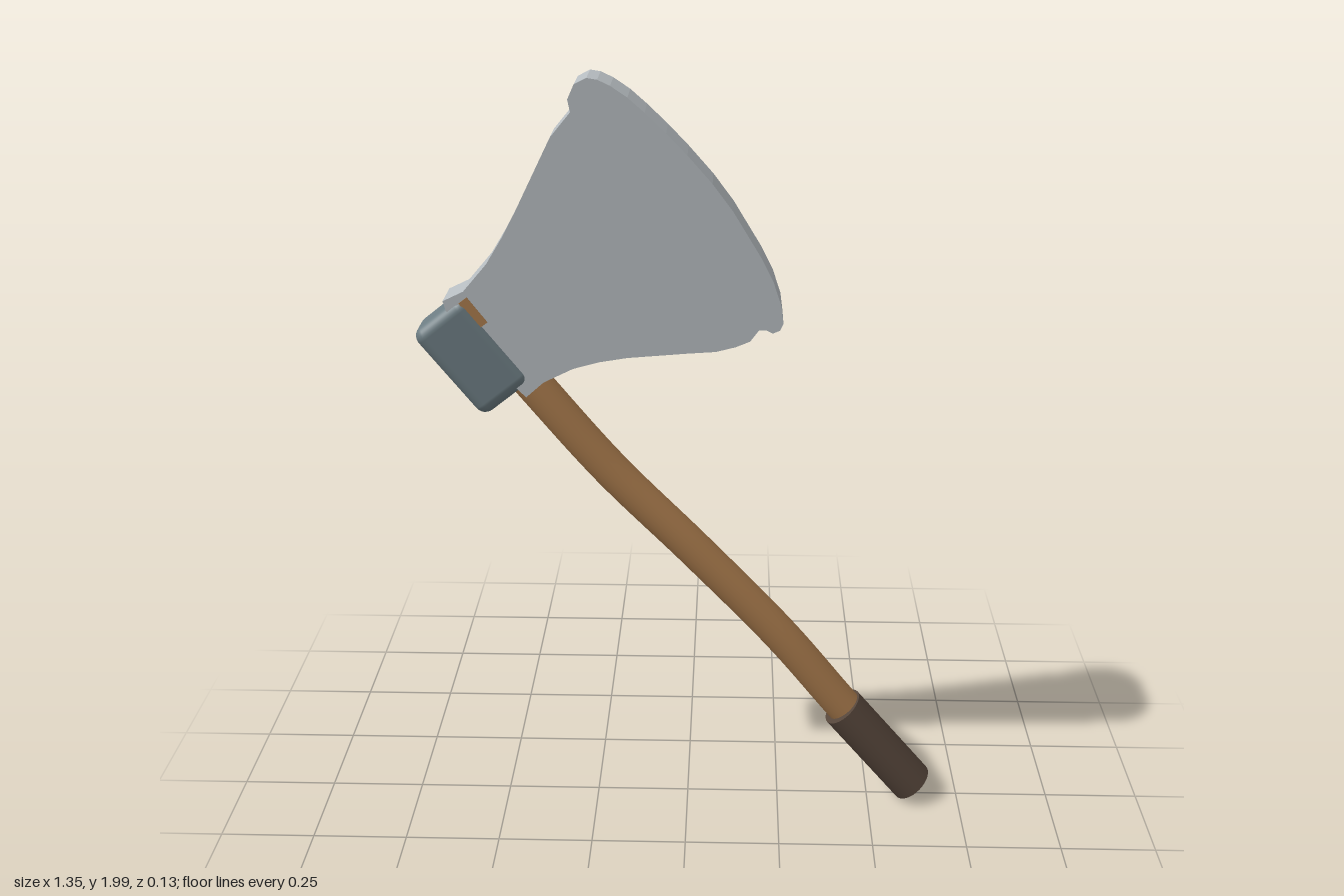
import * as THREE from 'three';
import { RoundedBoxGeometry } from 'three/addons/geometries/RoundedBoxGeometry.js';

const material = (name, color) => {
  const m = new THREE.MeshStandardMaterial({ color });
  m.name = name;
  return m;
};

export function createModel() {
  const group = new THREE.Group();
  const steel = material('bladeSteel', 0xb6bcc0);
  const iron = material('headIron', 0x6c7c82);
  const wood = material('wood', 0xa87a4c);
  const leather = material('gripLeather', 0x55453a);

  const add = (name, geometry, mat, x = 0, y = 0, z = 0, tilt = 0) => {
    const mesh = new THREE.Mesh(geometry, mat);
    mesh.name = name;
    mesh.position.set(x, y, z);
    mesh.rotation.z = tilt;
    group.add(mesh);
    return mesh;
  };
  const slab = (points, depth) => {
    const shape = new THREE.Shape(points.map(([x, y]) => new THREE.Vector2(x, y)));
    return new THREE.ExtrudeGeometry(shape, { depth, bevelEnabled: false }).translate(0, 0, -depth / 2);
  };

  // Flared body of the blade, from the head to the two notches
  add('bladeBody', slab([
    [-0.595, 1.43], [-0.48, 1.28], [-0.405, 1.205], [-0.36, 1.245], [-0.285, 1.282],
    [-0.22, 1.3], [-0.15, 1.312], [0, 1.325], [0.07, 1.33], [0.12, 1.343],
    [0.155, 1.358], [0.177, 1.388], [-0.275, 1.92], [-0.325, 1.86], [-0.37, 1.77],
    [-0.415, 1.68], [-0.45, 1.615], [-0.49, 1.55], [-0.55, 1.48], [-0.602, 1.455],
  ], 0.108), steel);

  // Slightly thicker curved cutting edge with rounded tips
  add('cuttingEdge', slab([
    [0.177, 1.388], [0.195, 1.388], [0.21, 1.38], [0.228, 1.388], [0.236, 1.405],
    [0.23, 1.45], [0.21, 1.51], [0.18, 1.57], [0.11, 1.685], [0.06, 1.752],
    [0, 1.82], [-0.05, 1.872], [-0.1, 1.92], [-0.14, 1.955], [-0.18, 1.982],
    [-0.21, 1.996], [-0.235, 2], [-0.265, 1.985], [-0.281, 1.95], [-0.275, 1.92],
  ], 0.114), steel);

  // Blunt rounded head around the top of the handle
  add('head', new RoundedBoxGeometry(0.168, 0.277, 0.124, 4, 0.03), iron, -0.537, 1.307, 0, 0.67);
  add('handleWedge', new THREE.BoxGeometry(0.026, 0.08, 0.112), wood, -0.528, 1.426, 0, 0.65);

  // Gently curved handle, closed at both ends
  const path = new THREE.CatmullRomCurve3([
    [-0.53, 1.395], [-0.39, 1.22], [-0.2, 0.99], [0.02, 0.76],
    [0.25, 0.51], [0.425, 0.293], [0.626, 0.053],
  ].map(([x, y]) => new THREE.Vector3(x, y, 0)));
  const radius = 0.048;
  add('handle', new THREE.TubeGeometry(path, 48, radius, 24), wood);
  for (const t of [0, 1]) {
    const p = path.getPointAt(t);
    const d = path.getTangentAt(t).multiplyScalar(t ? 1 : -1);
    const cap = add('handleEnd', new THREE.CircleGeometry(radius, 24), wood, p.x, p.y);
    cap.quaternion.setFromUnitVectors(new THREE.Vector3(0, 0, 1), d);
  }

  // Oval grip sleeve at the bottom of the handle
  const grip = new THREE.CylinderGeometry(0.058, 0.058, 0.312, 32);
  grip.scale(1, 1, 1.13);
  add('grip', grip, leather, 0.524, 0.169, 0, 0.7);

  return group;
}
